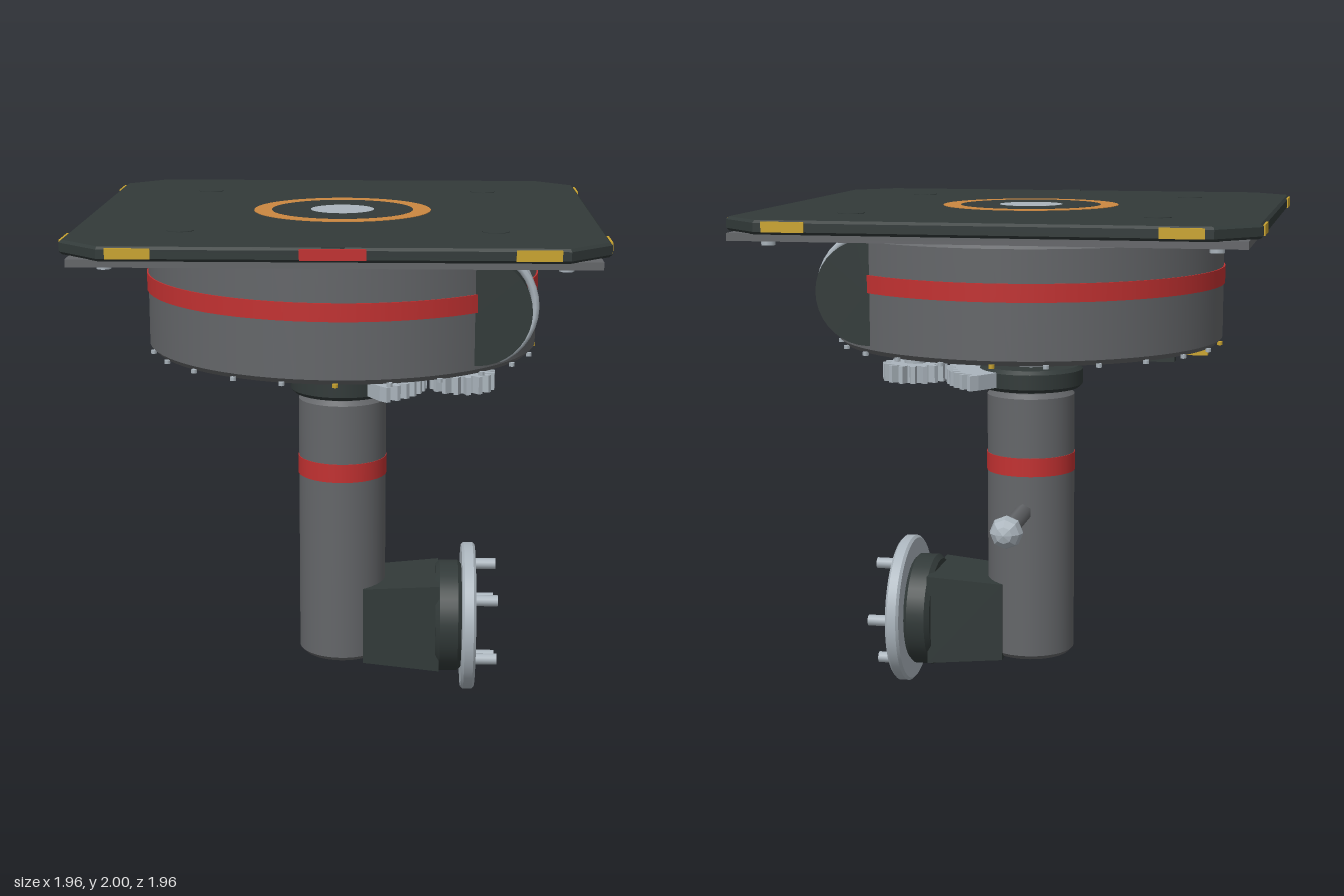
import * as THREE from 'three';

const material = (name, color, side = THREE.FrontSide) => {
  const m = new THREE.MeshStandardMaterial({ color, side });
  m.name = name;
  return m;
};

export function createModel() {
  const dark = material('dark charcoal', 0x323a39);
  const grey = material('steel grey', 0x646669);
  const light = material('bright metal', 0xabb5bd);
  const red = material('signal red', 0xc23131);
  const gold = material('marker yellow', 0xcba52f);
  const orange = material('ring orange', 0xcb8740);

  const model = new THREE.Group();
  model.name = 'turntableAssembly';

  const add = (name, geometry, mat, x = 0, y = 0, z = 0, parent = model) => {
    const mesh = new THREE.Mesh(geometry, mat);
    mesh.name = name;
    mesh.position.set(x, y, z);
    parent.add(mesh);
    return mesh;
  };
  const box = (w, h, d) => new THREE.BoxGeometry(w, h, d);
  const cyl = (r, h, n = 32) => new THREE.CylinderGeometry(r, r, h, n);

  // Upright disc or drum with a small bevel on both rims, crisp between bands
  const bevelled = (r, y0, y1, b, n = 48) => {
    const p = [[0, y0], [r - b, y0], [r - b, y0], [r, y0 + b], [r, y0 + b],
      [r, y1 - b], [r, y1 - b], [r - b, y1], [r - b, y1], [0, y1]];
    return new THREE.LatheGeometry(p.map(q => new THREE.Vector2(...q)), n);
  };

  // Flat outline extruded upwards from y = 0
  const slab = (shape, h, bevel = 0) => {
    const g = new THREE.ExtrudeGeometry(shape, {
      depth: h - 2 * bevel, bevelEnabled: bevel > 0, bevelThickness: bevel,
      bevelSize: bevel, bevelOffset: -bevel, bevelSegments: 1, curveSegments: 24,
    });
    g.translate(0, 0, bevel);
    g.rotateX(-Math.PI / 2);
    return g;
  };

  // Toothed outline; a full wheel or a sector with an inner radius
  const gearShape = (root, tip, teeth, a0, a1, inner = 0) => {
    const pts = [], step = (a1 - a0) / teeth;
    for (let i = 0; i < teeth; i++) {
      [[0.05, root], [0.25, tip], [0.6, tip], [0.8, root]].forEach(([f, r]) => {
        const a = a0 + (i + f) * step;
        pts.push(new THREE.Vector2(r * Math.cos(a), r * Math.sin(a)));
      });
    }
    if (inner) {
      for (let i = 0; i <= 12; i++) {
        const a = a1 + (a0 - a1) * i / 12;
        pts.push(new THREE.Vector2(inner * Math.cos(a), inner * Math.sin(a)));
      }
    }
    return new THREE.Shape(pts);
  };

  // Top plate with cut corners
  const s = 0.975, c = 0.82;
  const outline = new THREE.Shape([[s, -c], [s, c], [c, s], [-c, s], [-s, c], [-s, -c],
    [-c, -s], [c, -s]].map(q => new THREE.Vector2(...q)));
  add('topPlate', slab(outline, 0.052, 0.01), dark, 0, 1.945);
  add('plateNeck', cyl(0.7, 0.06, 48), dark, 0, 1.92);
  add('centreRing', slab(new THREE.Shape().absarc(0, 0, 0.348, 0, Math.PI * 2), 0.003), orange, 0, 1.996);
  add('centreField', cyl(0.278, 0.004, 48), dark, 0, 1.9975);
  add('centreCap', cyl(0.125, 0.005, 40), light, 0, 1.9975);
  add('frontNotch', box(0.08, 0.006, 0.025), dark, 0, 1.997, 0.958);

  // Edge markers, corner bolts, plate plugs and the frame under the plate
  for (let i = 0; i < 4; i++) {
    const side = new THREE.Group();
    side.name = 'plateSide';
    side.rotation.y = i * Math.PI / 2;
    model.add(side);
    for (const x of [-0.71, 0.71]) add('edgeMarker', box(0.158, 0.038, 0.008), gold, x, 1.973, 0.976, side);
    add('underFrameBar', box(1.87, 0.028, 0.06), grey, 0, 1.932, 0.905, side);
    add('cornerBolt', cyl(0.027, 0.055, 8), light, 0.817, 1.922, 0.817, side);
    add('platePlug', cyl(0.051, 0.004, 20), dark, 0.578, 1.997, 0.572, side);
  }
  add('frontMarker', box(0.232, 0.04, 0.008), red, 0, 1.973, 0.976);

  // Drum, its red stripe and the studs around the lower rim
  add('drum', bevelled(0.768, 1.463, 1.91, 0.02, 64), grey);
  add('drumStripe', new THREE.CylinderGeometry(0.774, 0.774, 0.068, 64), red, 0, 1.732);
  for (let i = 0; i < 24; i++) {
    const a = i * Math.PI / 12;
    add('rimStud', cyl(0.012, 0.014, 6), i % 6 ? light : gold, 0.76 * Math.sin(a), 1.462, 0.76 * Math.cos(a));
  }

  // Pair of side housings with cooling rings
  for (const sign of [1, -1]) {
    const housing = new THREE.Group();
    housing.name = 'sideHousing';
    housing.position.set(0.52, 1.697, 0);
    model.add(housing);
    add('housingBody', cyl(0.2, 0.4, 36).rotateX(Math.PI / 2), dark, 0, 0, sign * 0.374, housing);
    for (const z of [0.455, 0.325, 0.195]) {
      add('coolingRing', new THREE.TorusGeometry(0.217, 0.015, 8, 36), light, 0, 0, sign * z, housing);
    }
  }

  // Drive: shaft, collar, toothed sector and pinion
  add('mainShaft', cyl(0.09, 0.14), light, 0, 1.41);
  add('collar', bevelled(0.21, 1.268, 1.357, 0.015, 40), dark);
  add('gearSector', slab(gearShape(0.305, 0.342, 14, -Math.PI / 3, Math.PI / 3, 0.207), 0.06), light, 0, 1.285);
  add('pinion', slab(gearShape(0.1, 0.132, 16, 0, Math.PI * 2), 0.07), light, 0.483, 1.28);
  add('pinionShaft', cyl(0.045, 0.06, 20), light, 0.483, 1.37);
  add('pinionMotor', bevelled(0.115, 1.388, 1.47, 0.008, 28), dark, 0.483);

  // Pointer arm under the drum
  add('pointerArm', box(0.43, 0.052, 0.06), dark, -0.37, 1.411);
  add('pointerTip', box(0.13, 0.022, 0.045), gold, -0.65, 1.425);

  // Column with stripe
  add('column', bevelled(0.177, 0.16, 1.258, 0.018, 40), grey);
  add('columnNeck', cyl(0.14, 0.03), dark, 0, 1.262);
  add('columnStripe', cyl(0.18, 0.075, 40), red, 0, 0.964);

  // Lever with faceted knob at the back
  add('leverBar', cyl(0.035, 0.34, 6).rotateX(Math.PI / 2), grey, 0, 0.78, -0.32);
  add('leverKnob', new THREE.SphereGeometry(0.066, 8, 6).rotateX(Math.PI / 2).toNonIndexed(), light, 0, 0.778, -0.5)
    .geometry.computeVertexNormals();

  // Tapered elbow block: widens towards the flange
  const elbow = box(0.31, 0.34, 0.34);
  const p = elbow.attributes.position;
  for (let i = 0; i < p.count; i++) {
    const k = p.getX(i) > 0 ? 1.08 : 0.94;
    p.setY(i, p.getY(i) * k);
    p.setZ(i, p.getZ(i) * k);
  }
  elbow.computeVertexNormals();
  add('elbowBlock', elbow, dark, 0.245, 0.31);

  // Flange facing +x with five studs
  const flange = new THREE.Group();
  flange.name = 'flange';
  flange.position.y = 0.307;
  flange.rotation.z = -Math.PI / 2;
  model.add(flange);
  add('flangeHub', bevelled(0.23, 0.385, 0.495, 0.018, 40), dark, 0, 0, 0, flange);
  add('flangeDisc', bevelled(0.305, 0.492, 0.548, 0.01, 48), light, 0, 0, 0, flange);
  for (let i = 0; i < 5; i++) {
    const a = i * Math.PI * 0.4;
    add('flangeStud', cyl(0.023, 0.1, 12), light, 0.215 * Math.sin(a), 0.587, -0.215 * Math.cos(a), flange);
  }
  return model;
}
